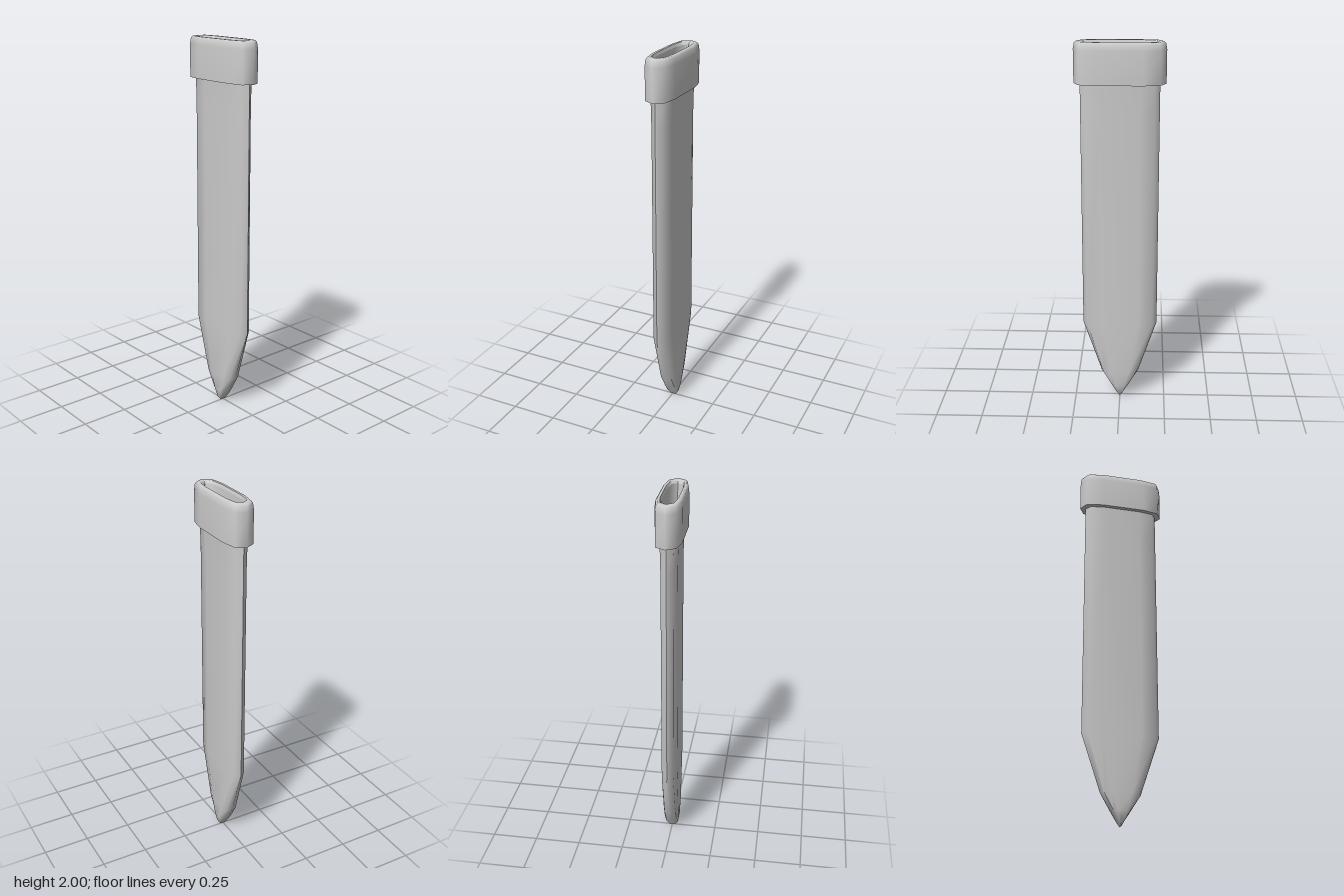
import * as THREE from 'three';
import { toCreasedNormals } from 'three/addons/utils/BufferGeometryUtils.js';

// Ten-sided flattened cross-section, as fractions of half width and half depth
const quarter = [[1, 0], [0.88, 0.75], [0.5, 1]];
const section = [
  ...quarter,
  ...quarter.slice(1).reverse().map(([x, z]) => [-x, z]),
  ...quarter.map(([x, z]) => [-x, -z]),
  ...quarter.slice(1).reverse().map(([x, z]) => [x, -z]),
];

// Skins a stack of sections, each given as [y, half width, half depth]
function loft(stations) {
  const n = section.length;
  const positions = [];
  const index = [];
  for (const [y, w, d] of stations) {
    for (const [x, z] of section) positions.push(x * w, y, z * d);
  }
  for (let r = 0; r < stations.length - 1; r++) {
    for (let i = 0; i < n; i++) {
      const a = r * n + i;
      const b = r * n + (i + 1) % n;
      index.push(a, a + n, b, b, a + n, b + n);
    }
  }
  const geometry = new THREE.BufferGeometry();
  geometry.setAttribute('position', new THREE.Float32BufferAttribute(positions, 3));
  geometry.setIndex(index);
  return toCreasedNormals(geometry, 1.1);
}

export function createModel() {
  const group = new THREE.Group();
  const material = new THREE.MeshStandardMaterial({ color: 0xcccccc, side: THREE.DoubleSide });
  const add = (name, stations) => {
    const mesh = new THREE.Mesh(loft(stations), material);
    mesh.name = name;
    group.add(mesh);
  };

  // Long sheath narrowing to a pointed tip
  add('sheathBody', [
    [0, 0.001, 0.016],
    [0.025, 0.017, 0.033],
    [0.07, 0.046, 0.04],
    [0.16, 0.103, 0.042],
    [0.46, 0.202, 0.042],
    [1.65, 0.202, 0.042],
    [1.8, 0.202, 0.046],
  ]);

  // Thick collar: underside, outer wall, rounded rim and mouth
  add('collar', [
    [1.79, 0.2, 0.044],
    [1.79, 0.233, 0.067],
    [1.96, 0.233, 0.067],
    [1.99, 0.228, 0.063],
    [2, 0.218, 0.056],
    [2, 0.195, 0.043],
    [1.985, 0.185, 0.038],
  ]);

  // Hollow inside, following the blade shape down to the tip
  add('innerLining', [
    [1.985, 0.185, 0.038],
    [1.9, 0.17, 0.034],
    [0.47, 0.17, 0.034],
    [0.18, 0.085, 0.032],
    [0.07, 0.02, 0.024],
    [0.05, 0.001, 0.012],
  ]);

  return group;
}
